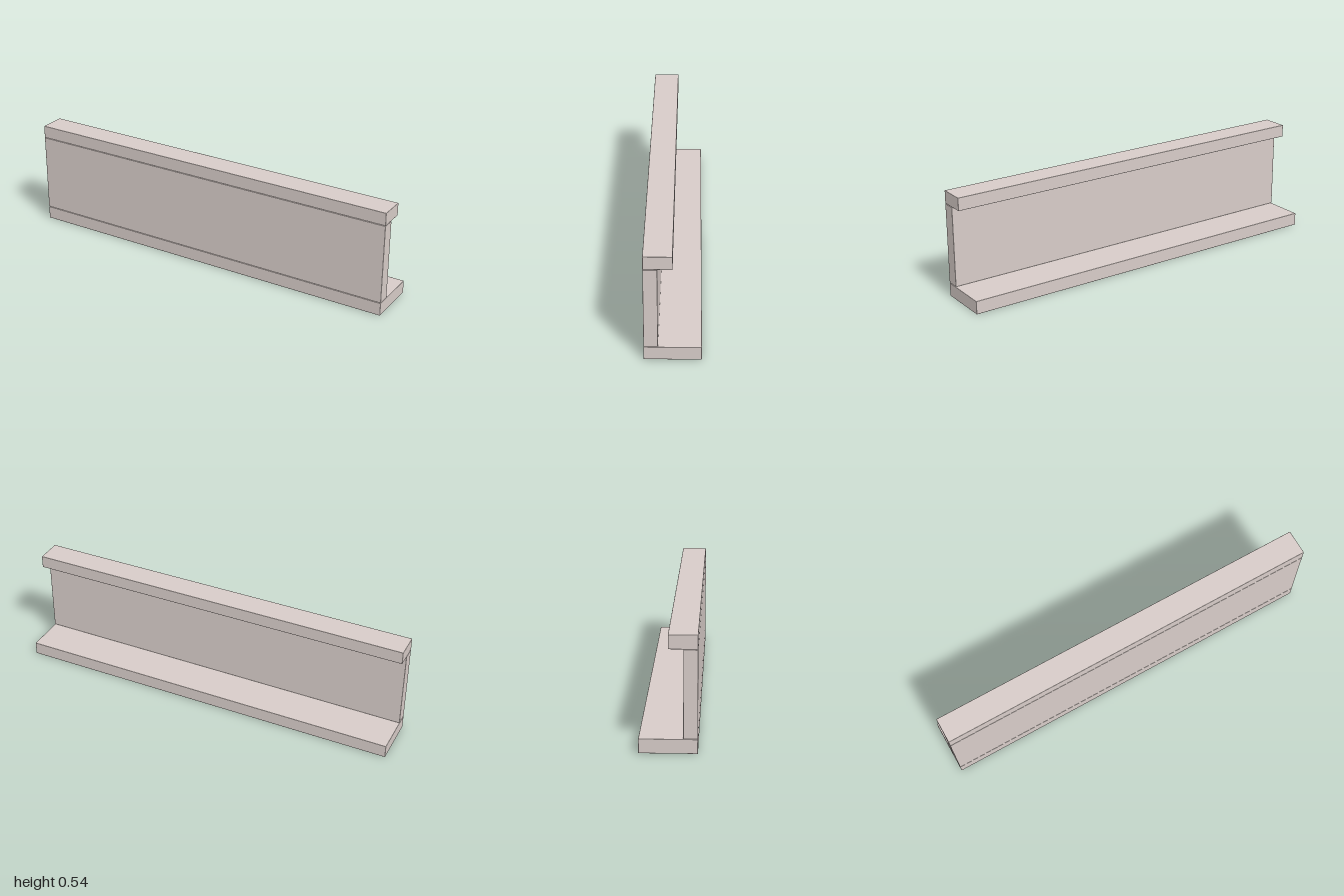
import * as THREE from 'three';
import { RoundedBoxGeometry } from 'three/addons/geometries/RoundedBoxGeometry.js';

// Box with finely eased edges spanning the full beam length, given by its y and z limits
function plank(name, material, y0, y1, z0, z1) {
  const mesh = new THREE.Mesh(new RoundedBoxGeometry(2, y1 - y0, z1 - z0, 1, 0.002), material);
  mesh.name = name;
  mesh.position.set(0, (y0 + y1) / 2, (z0 + z1) / 2);
  return mesh;
}

export function createModel() {
  const model = new THREE.Group();
  model.name = 'beam';
  const paleGrey = new THREE.MeshStandardMaterial({ color: 0xd7ccc8 });
  paleGrey.name = 'pale warm grey';

  // Wide foot, upright web and narrow cap, flush at the front with hairline gaps
  model.add(
    plank('bottomFlange', paleGrey, 0, 0.067, -0.132, 0.132),
    plank('web', paleGrey, 0.069, 0.475, 0.067, 0.132),
    plank('topFlange', paleGrey, 0.477, 0.542, 0, 0.132),
  );
  return model;
}
